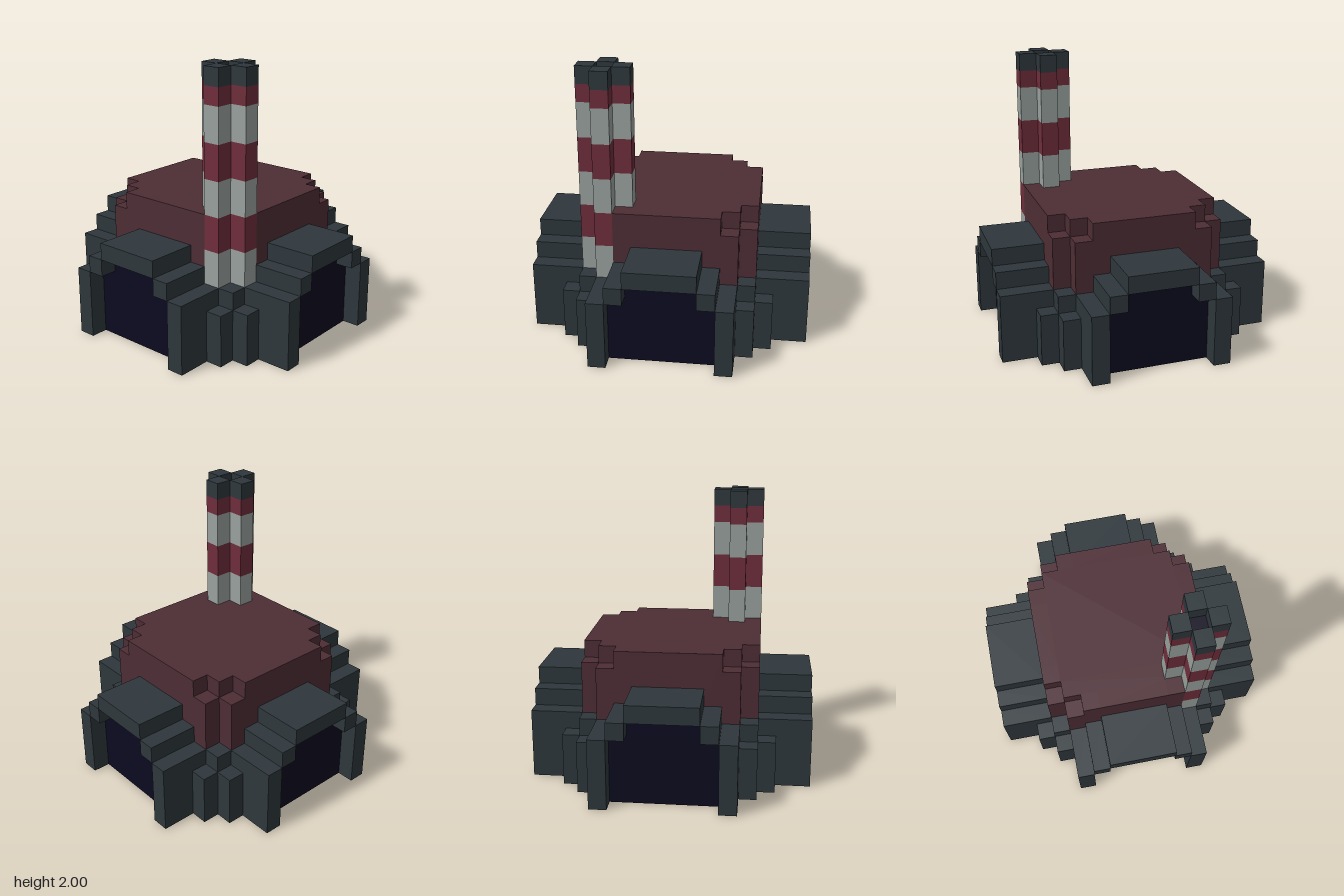
import * as THREE from 'three';

const mat = (name, color) => {
  const m = new THREE.MeshStandardMaterial({ color });
  m.name = name;
  return m;
};

export function createModel() {
  const slate = mat('slate', 0x2e373c);
  const maroon = mat('maroon', 0x4d2d35);
  const red = mat('stripe red', 0x6f2d3b);
  const pale = mat('pale grey', 0x98a19d);
  const navy = mat('dark navy', 0x0c0b20);

  const model = new THREE.Group();
  model.name = 'factory';
  const U = 0.125; // one block

  // Box from min and max corners given in blocks
  const block = (parent, name, material, x0, x1, y0, y1, z0, z1) => {
    const mesh = new THREE.Mesh(
      new THREE.BoxGeometry((x1 - x0) * U, (y1 - y0) * U, (z1 - z0) * U), material);
    mesh.position.set((x0 + x1) / 2 * U, (y0 + y1) / 2 * U, (z0 + z1) / 2 * U);
    mesh.name = name;
    parent.add(mesh);
  };
  // Same box on the left (s = 1) or right (s = -1)
  const sided = (parent, name, material, s, x0, x1, ...rest) =>
    block(parent, name, material, s > 0 ? x0 : -x1, s > 0 ? x1 : -x0, ...rest);

  // Four equal sides, each with a gate, a wall and one corner
  for (let k = 0; k < 4; k++) {
    const side = new THREE.Group();
    side.name = 'side' + (k + 1);
    side.rotation.y = k * Math.PI / 2;
    model.add(side);

    // Gate frame and recessed door
    block(side, 'gateRoof', slate, -2, 2, 5, 6, 5, 8);
    block(side, 'door', navy, -3, 3, 0, 4, 6, 7);
    block(side, 'doorTop', navy, -2, 2, 4, 5, 6, 7);
    block(side, 'wallTop', maroon, -2, 2, 6, 8, 4, 5);
    for (const s of [1, -1]) {
      sided(side, 'gateShoulder', slate, s, 2, 3, 4, 5, 5, 8);
      sided(side, 'gateLeg', slate, s, 3, 4, 0, 4, 5, 8);
      sided(side, 'wallShoulder', maroon, s, 2, 3, 5, 8, 4, 5);
      // The chimney replaces the wall ends at its corner
      const atChimney = (k === 0 && s < 0) || (k === 3 && s > 0);
      if (!atChimney) sided(side, 'wallEnd', maroon, s, 3, 4, 4, 7, 4, 5);
    }

    // Stepped corner buttress
    block(side, 'cornerPost', slate, 4, 5, 0, 4, 4, 5);
    block(side, 'cornerStep', slate, 4, 5, 0, 3, 5, 6);
    block(side, 'cornerStep', slate, 5, 6, 0, 3, 4, 5);
    if (k !== 3) block(side, 'wallCorner', maroon, 3, 4, 4, 7, 3, 4);
  }

  // Roof, open where the chimney flue passes
  block(model, 'roof', maroon, -3, 4, 7, 8, -4, 4);
  block(model, 'roofEdge', maroon, -4, -3, 7, 8, -4, 3);

  // Striped chimney: four stacks around an open flue
  const chimney = new THREE.Group();
  chimney.name = 'chimney';
  chimney.position.set(-3.5 * U, 0, 3.5 * U);
  model.add(chimney);
  const bands = [
    [4, 6, pale], [6, 8, red], [8, 10, pale], [10, 12, red],
    [12, 14, pale], [14, 15, red], [15, 16, slate],
  ];
  for (const [dx, dz] of [[-1, 0], [0, 1], [1, 0], [0, -1]]) {
    const inner = dx > 0 || dz < 0; // these rest on the roof
    for (const [y0, y1, material] of bands) {
      if (inner && y0 < 8) continue;
      block(chimney, 'chimneyBand', material,
        dx - 0.5, dx + 0.5, y0, y1, dz - 0.5, dz + 0.5);
    }
  }
  block(chimney, 'flue', navy, -0.5, 0.5, 14, 15, -0.5, 0.5);

  return model;
}
